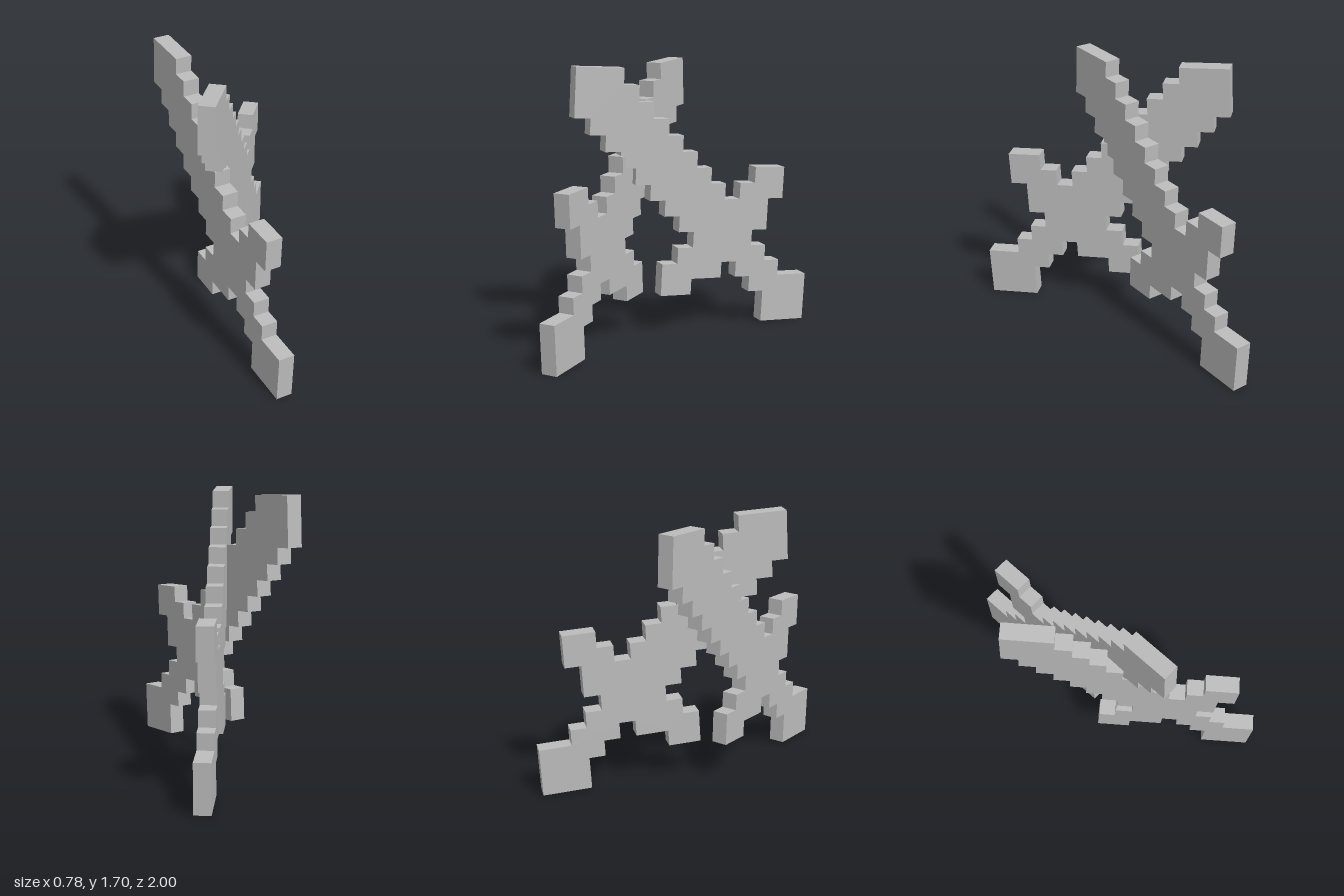
import * as THREE from 'three';

const PIXEL = 0.1013; // one stair step, also the blade thickness
const TILT = THREE.MathUtils.degToRad(2.85);
const TURN = THREE.MathUtils.degToRad(110);

// Stepped sword outline on a 16 x 16 grid, pommel at (0, 0), tip at (16, 16)
function swordOutline() {
  // Lower edge: pommel, grip, notch, guard
  const half = [
    [3, 0], [3, 2], [4, 2], [4, 3], [5, 3], [5, 4], [6, 4], [6, 3], [8, 3], [8, 2],
    [10, 2], [10, 4], [9, 4], [9, 5], [8, 5], [8, 6],
  ];
  // Blade staircase
  for (let k = 9; k <= 15; k++) half.push([k, k - 3], [k, k - 2]);
  half.push([16, 13]);
  // The upper edge mirrors the lower one across the diagonal
  const mirrored = half.map(([u, v]) => [v, u]).reverse();
  return [[0, 0], ...half, [16, 16], ...mirrored]
    .map(([u, v]) => new THREE.Vector2(u * PIXEL, v * PIXEL));
}

export function createModel() {
  const model = new THREE.Group();
  model.name = 'crossedSwords';

  const grey = new THREE.MeshStandardMaterial({ color: 0xbcbcbc });
  grey.name = 'grey';

  const geometry = new THREE.ExtrudeGeometry(new THREE.Shape(swordOutline()), {
    depth: PIXEL,
    bevelEnabled: false,
  });
  geometry.translate(0, 0, -PIXEL / 2);

  // Two swords crossing, one pommel to the front and one to the back
  const addSword = (name, x, side) => {
    const sword = new THREE.Mesh(geometry, grey);
    sword.name = name;
    sword.position.set(x, 0, side * 0.9685);
    sword.rotation.set(0, side * TURN, TILT);
    model.add(sword);
  };
  addSword('frontSword', 0.189, 1);
  addSword('backSword', 0.337, -1);

  return model;
}
